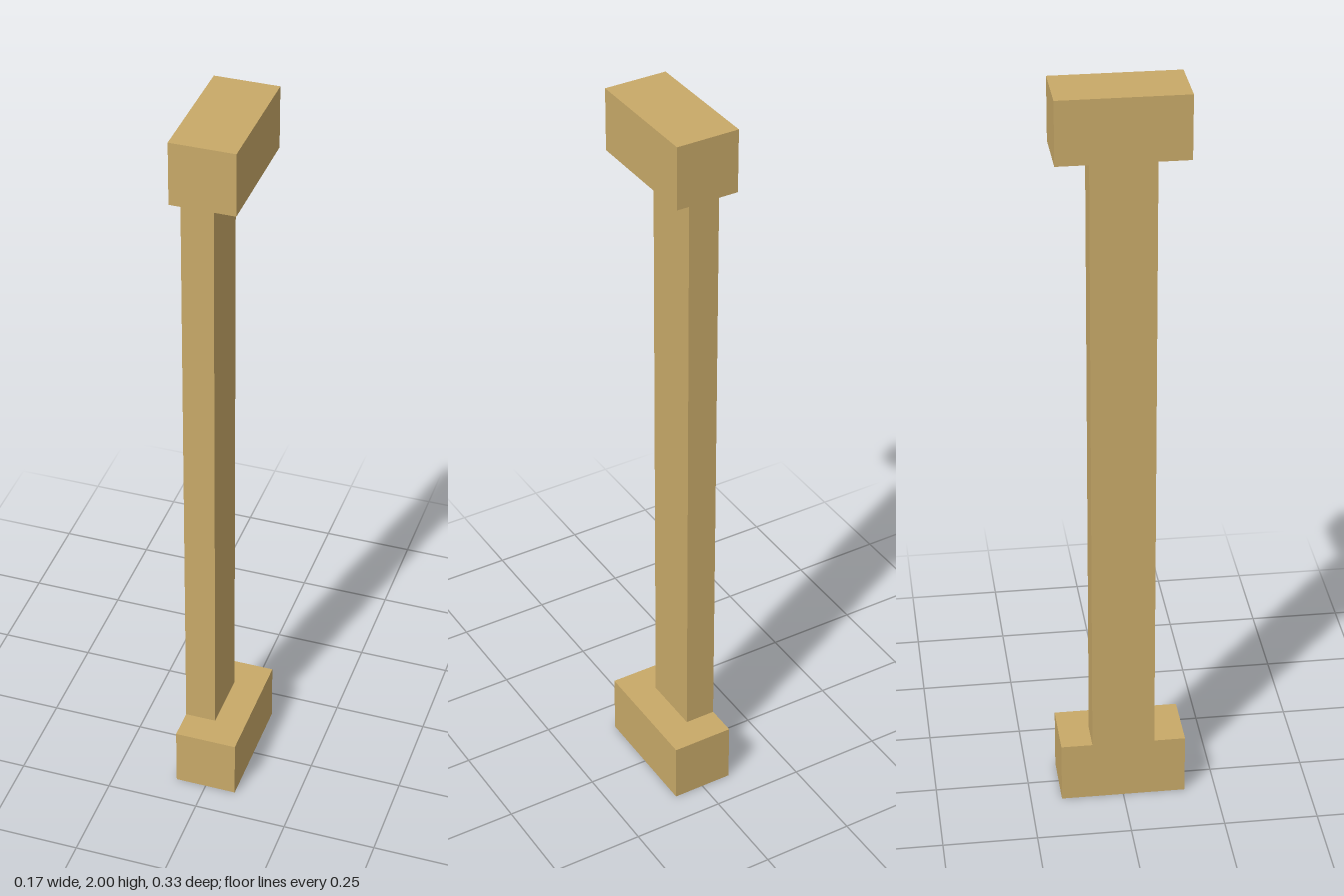
import * as THREE from 'three';

const U = 1 / 12; // half the width of an end block

export function createModel() {
  const model = new THREE.Group();
  const wood = new THREE.MeshStandardMaterial({ color: 0xc8a968 });

  const addBox = (name, size, position) => {
    const mesh = new THREE.Mesh(new THREE.BoxGeometry(...size), wood);
    mesh.name = name;
    mesh.position.set(...position);
    model.add(mesh);
  };

  // Matching blocks at foot and head
  addBox('baseBlock', [2 * U, 2 * U, 4 * U], [0, U, 0]);
  addBox('capBlock', [2 * U, 2 * U, 4 * U], [0, 2 - U, 0]);

  // Slim post, flush with the -x faces of the blocks
  addBox('post', [U, 2 - 4 * U, 2 * U], [-U / 2, 1, 0]);

  return model;
}
